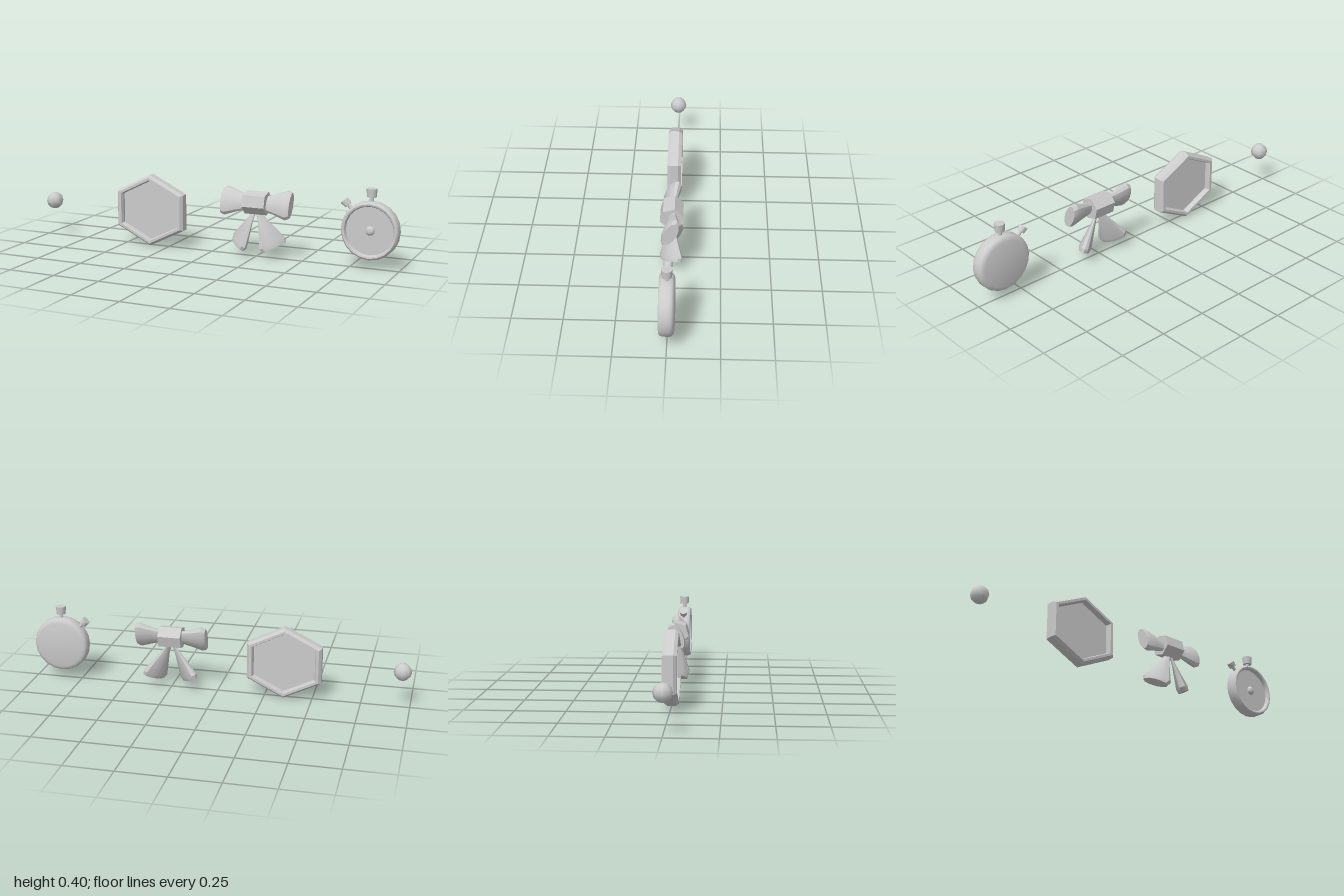
import * as THREE from 'three';
import { toCreasedNormals } from 'three/addons/utils/BufferGeometryUtils.js';

const material = new THREE.MeshStandardMaterial({ color: 0xcccccc });
const rad = THREE.MathUtils.degToRad;

function add(parent, name, geometry, x = 0, y = 0, z = 0, crease = 32) {
  const mesh = new THREE.Mesh(toCreasedNormals(geometry, rad(crease)), material);
  mesh.name = name;
  mesh.position.set(x, y, z);
  parent.add(mesh);
  return mesh;
}

function group(parent, name, x, y) {
  const g = new THREE.Group();
  g.name = name;
  g.position.set(x, y, 0);
  parent.add(g);
  return g;
}

const lathe = (points, sides) =>
  new THREE.LatheGeometry(points.map(([r, y]) => new THREE.Vector2(r, y)), sides);

// Flattened, twisted flare that grows along +y, then leans by an angle about z
function flare(profile, flatness, twist, lean) {
  return lathe(profile, 12).scale(1, 1, flatness).rotateY(rad(twist)).rotateZ(rad(lean));
}

function buildFrame(root) {
  const frame = group(root, 'hexagonFrame', -0.352, 0.191);
  const section = [
    [0.158, -0.02], [0.164, -0.036], [0.178, -0.036], [0.191, -0.02],
    [0.191, 0.02], [0.178, 0.036], [0.164, 0.036], [0.158, 0.02], [0.158, -0.02],
  ];
  const stretch = 1.17;
  add(frame, 'frameRim', lathe(section, 6).rotateX(Math.PI / 2).scale(stretch, 1, 1), 0, 0, 0, 20);
  add(frame, 'framePanel',
    new THREE.CylinderGeometry(0.16, 0.16, 0.012, 6).rotateX(Math.PI / 2).scale(stretch, 1, 1));
}

function buildBow(root) {
  const bow = group(root, 'bow', 0.248, 0.28);
  // Six-sided knot lying along x
  const knot = new THREE.CylinderGeometry(0.06, 0.06, 0.12, 6).rotateZ(Math.PI / 2);
  const knotMesh = add(bow, 'knot', knot, 0, 0, -0.002, 20);
  knotMesh.rotation.x = rad(-15 + 90);

  const loop = [[0, 0], [0.038, 0], [0.042, 0.06], [0.058, 0.11], [0.078, 0.165], [0.068, 0.187], [0, 0.187]];
  const tail = [[0, 0], [0.014, 0], [0.024, 0.05], [0.077, 0.185], [0.068, 0.208], [0, 0.208]];
  for (const s of [1, -1]) {
    const side = s > 0 ? 'left' : 'right';
    add(bow, side + 'Loop', flare(loop, 0.47, -25 * s, -90 * s));
    add(bow, side + 'Tail', flare(tail, 0.42, -45 * s, -154 * s), 0.008 * s, -0.04, 0);
  }
}

function buildStopwatch(root) {
  const watch = group(root, 'stopwatch', 0.852, 0.194);
  // Case with a rounded rim, flat back and recessed dial
  const profile = [
    [0, -0.036], [0.122, -0.036], [0.136, -0.032], [0.144, -0.024], [0.147, -0.012],
    [0.147, 0.02], [0.143, 0.032], [0.136, 0.037], [0.128, 0.035], [0.123, 0.028],
    [0.123, 0.014], [0, 0.014],
  ];
  add(watch, 'case', lathe(profile, 20).rotateX(Math.PI / 2), 0, 0, 0, 40);
  add(watch, 'dialPin', new THREE.SphereGeometry(0.024, 12, 8).scale(1, 1, 0.8), 0, 0, 0.014);

  // Crown on top and a smaller button at the upper side
  const buttons = [
    { name: 'crown', angle: 0, base: 0.166, top: 0.208, r: 0.027, stem: 0.01 },
    { name: 'sideButton', angle: 45, base: 0.166, top: 0.196, r: 0.022, stem: 0.009 },
  ];
  for (const b of buttons) {
    const g = group(watch, b.name, 0, 0);
    g.rotation.z = rad(b.angle);
    const h = b.top - b.base;
    add(g, b.name + 'Cap', new THREE.CylinderGeometry(b.r, b.r * 0.87, h, 14), 0, b.base + h / 2);
    add(g, b.name + 'Stem', new THREE.CylinderGeometry(b.stem, b.stem, 0.04, 10), 0, 0.155);
  }
}

export function createModel() {
  const root = new THREE.Group();
  root.name = 'trinkets';
  add(root, 'ball', new THREE.SphereGeometry(0.046, 8, 6), -0.954, 0.192, 0, 60);
  buildFrame(root);
  buildBow(root);
  buildStopwatch(root);
  return root;
}
